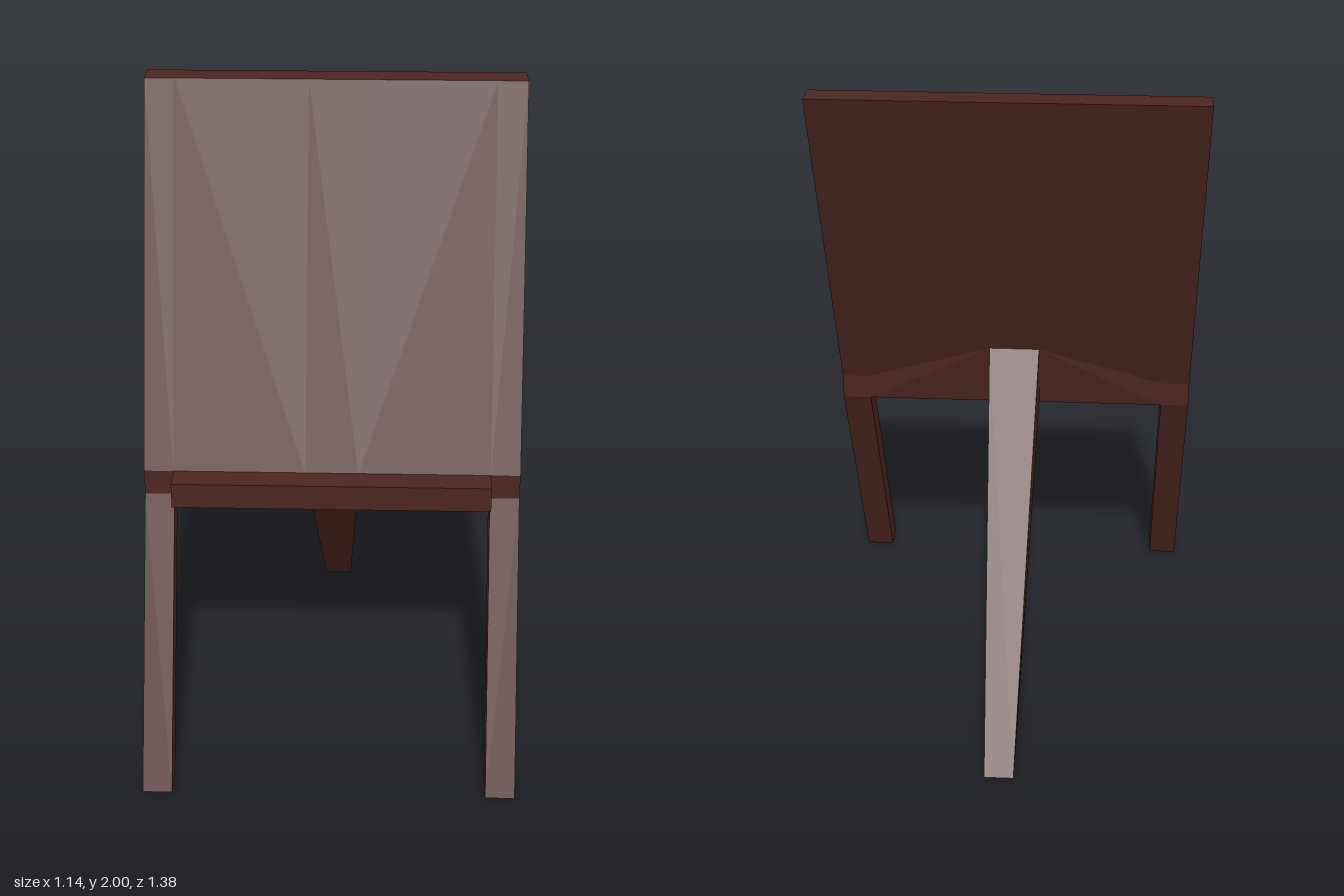
import * as THREE from 'three';

const brown = new THREE.MeshStandardMaterial({ color: 0x4d2620, flatShading: true });

// Joins cross-sections running from -x to +x. Each is a loop of [x, y, z],
// counter-clockwise as seen from +x; both ends are capped.
function loft(name, sections) {
  const pos = [];
  const tri = (...pts) => pts.forEach((p) => pos.push(...p));
  for (let s = 0; s < sections.length - 1; s++) {
    const A = sections[s], B = sections[s + 1], n = A.length;
    for (let i = 0; i < n; i++) {
      const a = A[i], b = A[(i + 1) % n], c = B[i], d = B[(i + 1) % n];
      // mirror the diagonals about x = 0
      if (a[0] < 0) { tri(a, b, d); tri(a, d, c); }
      else { tri(a, b, c); tri(b, d, c); }
    }
  }
  const first = sections[0], last = sections[sections.length - 1];
  const flat = last.map(([, y, z]) => new THREE.Vector2(-z, y));
  for (const [i, j, k] of THREE.ShapeUtils.triangulateShape(flat, [])) {
    tri(last[i], last[j], last[k]);
    tri(first[k], first[j], first[i]);
  }
  const geo = new THREE.BufferGeometry();
  geo.setAttribute('position', new THREE.Float32BufferAttribute(pos, 3));
  geo.computeVertexNormals();
  const mesh = new THREE.Mesh(geo, brown);
  mesh.name = name;
  return mesh;
}

// Places a [z, y] profile at a given x
const at = (x, profile) => profile.map(([z, y]) => [x, y, z]);

export function createModel() {
  const group = new THREE.Group();
  group.name = 'easel';

  // Leaning board; its lower back swells towards the rear leg
  const boardProfile = (back) => [
    [0.295, 0.83], [0.21, 0.83], back, [-0.23, 2], [-0.145, 2], [0.295, 0.91],
  ];
  group.add(loft('board', [-0.57, -0.48, -0.08, 0.08, 0.48, 0.57].map((x) =>
    at(x, boardProfile(Math.abs(x) < 0.1 ? [0.155, 1.05] : [0.21, 0.91])))));

  // Ledge along the board's lower edge
  const ledge = new THREE.Mesh(new THREE.BoxGeometry(0.96, 0.08, 0.08), brown);
  ledge.name = 'ledge';
  ledge.position.set(0, 0.87, 0.335);
  group.add(ledge);

  // Front legs
  const legProfile = [[0.69, 0], [0.605, 0], [0.21, 0.83], [0.295, 0.83]];
  for (const [name, x0, x1] of [['rightFrontLeg', -0.57, -0.48], ['leftFrontLeg', 0.48, 0.57]]) {
    group.add(loft(name, [at(x0, legProfile), at(x1, legProfile)]));
  }

  // Rear leg, tapering to the foot: [half width, y, z]
  const rear = [[0.08, 0.83, 0.21], [0.045, 0, -0.555], [0.045, 0, -0.69], [0.08, 1.05, 0.155]];
  group.add(loft('rearLeg', [-1, 1].map((side) => rear.map(([w, y, z]) => [side * w, y, z]))));

  return group;
}
